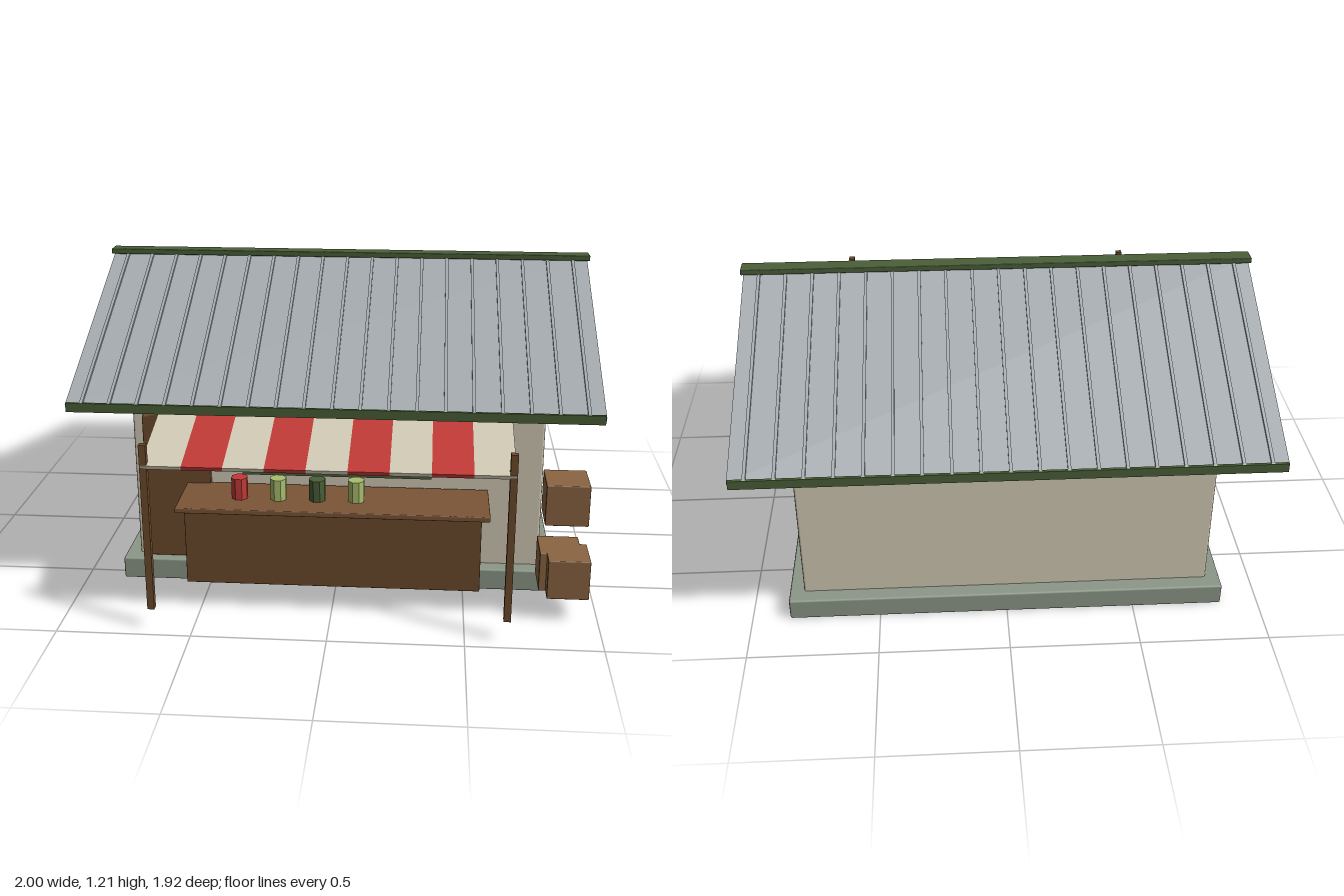
import * as THREE from 'three';
import { RoundedBoxGeometry } from 'three/addons/geometries/RoundedBoxGeometry.js';

const mat = (name, color) => {
  const m = new THREE.MeshStandardMaterial({ color });
  m.name = name;
  return m;
};

export function createModel() {
  const concrete = mat('concrete grey', 0x8d9889);
  const cream = mat('cream', 0xd3cbb6);
  const metal = mat('roof metal', 0xa5abaf);
  const green = mat('dark green', 0x4a5f38);
  const wood = mat('dark wood', 0x6b4a2c);
  const topWood = mat('counter wood', 0x7c5636);
  const crateWood = mat('crate wood', 0x8b6541);
  const red = mat('red', 0xc23a37);
  const glass = mat('window glass', 0x93bfcf);
  const lime = mat('light green', 0xaabd6e);

  const model = new THREE.Group();
  model.name = 'marketStall';

  const add = (name, geometry, material, parent = model) => {
    const mesh = new THREE.Mesh(geometry, material);
    mesh.name = name;
    parent.add(mesh);
    return mesh;
  };
  // Box given by its extents on each axis, with a small bevel when asked
  const box = (name, material, [x0, x1], [y0, y1], [z0, z1], bevel = 0, parent = model) => {
    const size = [x1 - x0, y1 - y0, z1 - z0];
    const geometry = bevel ? new RoundedBoxGeometry(...size, 1, bevel) : new THREE.BoxGeometry(...size);
    const mesh = add(name, geometry, material, parent);
    mesh.position.set((x0 + x1) / 2, (y0 + y1) / 2, (z0 + z1) / 2);
    return mesh;
  };

  // Building
  const midZ = -0.117;
  box('foundation', concrete, [-0.853, 0.853], [0, 0.088], [-0.795, 0.56], 0.008);
  box('walls', cream, [-0.797, 0.797], [0.08, 0.866], [-0.737, 0.503], 0.01);
  const triangle = new THREE.Shape([
    new THREE.Vector2(-0.655, 0.862), new THREE.Vector2(0.655, 0.862), new THREE.Vector2(0, 1.176),
  ]);
  const gable = new THREE.ExtrudeGeometry(triangle, { depth: 1.76, bevelEnabled: false });
  gable.translate(0, 0, -0.88).rotateY(-Math.PI / 2).translate(0, 0, midZ);
  add('gable', gable, cream);

  // Two roof slopes with standing seams and eave trim
  const run = 0.845, drop = 0.405, slopeLength = Math.hypot(run, drop);
  for (const side of ['front', 'back']) {
    const half = new THREE.Group();
    half.name = side + 'Roof';
    half.position.set(0, 1.196, midZ);
    if (side === 'back') half.rotation.y = Math.PI;
    const slope = new THREE.Group();
    slope.name = side + 'RoofSlope';
    slope.rotation.x = Math.atan2(drop, run);
    box('roofPanel', metal, [-0.99, 0.99], [-0.02, -0.002], [0, slopeLength], 0, slope);
    for (let i = -9; i <= 9; i++) {
      const x = i * 0.1033;
      box('roofSeam', metal, [x - 0.006, x + 0.006], [-0.004, 0.007], [0, slopeLength], 0, slope);
    }
    half.add(slope);
    box('eaveTrim', green, [-0.987, 0.987], [-0.433, -0.398], [run - 0.008, run + 0.004], 0, half);
    model.add(half);
  }
  box('ridgeCap', green, [-1, 1], [1.185, 1.207], [midZ - 0.033, midZ + 0.033], 0.003);

  // Door and window
  box('door', wood, [-0.755, -0.495], [0.09, 0.683], [0.495, 0.53], 0.004);
  box('windowGlass', glass, [-0.36, 0.36], [0.46, 0.67], [0.505, 0.513]);
  for (const s of [-1, 1]) {
    const x = s * 0.357, y = 0.566 + s * 0.104;
    box('windowFrameSide', green, [x - 0.011, x + 0.011], [0.45, 0.682], [0.5, 0.53]);
    box('windowFrameRail', green, [-0.368, 0.368], [y - 0.012, y + 0.012], [0.5, 0.53]);
  }
  box('windowBar', green, [-0.35, 0.35], [0.559, 0.573], [0.5, 0.525]);

  // Board and lamp above the awning
  box('signBoard', green, [-0.46, 0.46], [0.735, 0.86], [0.535, 0.55]);
  box('lamp', cream, [0.39, 0.47], [0.713, 0.768], [0.547, 0.6], 0.004);

  // Striped awning on two posts
  const awning = new THREE.Group();
  awning.name = 'awning';
  awning.position.set(0, 0.757, 0.54);
  awning.rotation.x = Math.atan2(0.108, 0.42);
  const stripe = 1.326 / 9;
  for (let i = 0; i < 9; i++) {
    const x = -0.663 + i * stripe;
    box('awningStripe', i % 2 ? red : cream, [x, x + stripe], [-0.014, 0], [0, 0.432], 0, awning);
  }
  model.add(awning);
  for (const x of [-0.652, 0.652]) {
    box('awningPost', wood, [x - 0.013, x + 0.013], [0.08, 0.726], [0.93, 0.956]);
  }

  // Counter with four jars
  box('counterBody', wood, [-0.558, 0.558], [0.088, 0.39], [0.545, 0.748], 0.004);
  box('counterTop', topWood, [-0.588, 0.588], [0.387, 0.408], [0.515, 0.776], 0.004);
  [red, lime, green, lime].forEach((material, i) => {
    const geometry = new THREE.CylinderGeometry(0.032, 0.032, 0.084, 8).toNonIndexed();
    geometry.rotateY(Math.PI / 8);
    geometry.computeVertexNormals();
    add('jar', geometry, material).position.set(-0.358 + i * 0.148, 0.452, 0.66);
  });

  // Crates
  for (const [x, y, z] of [[0.855, 0.42, 0.703], [0.883, 0.095, 0.643], [0.857, 0.095, 0.58]]) {
    box('crate', crateWood, [x - 0.078, x + 0.078], [y, y + 0.156], [z, z + 0.156], 0.004);
  }
  return model;
}
